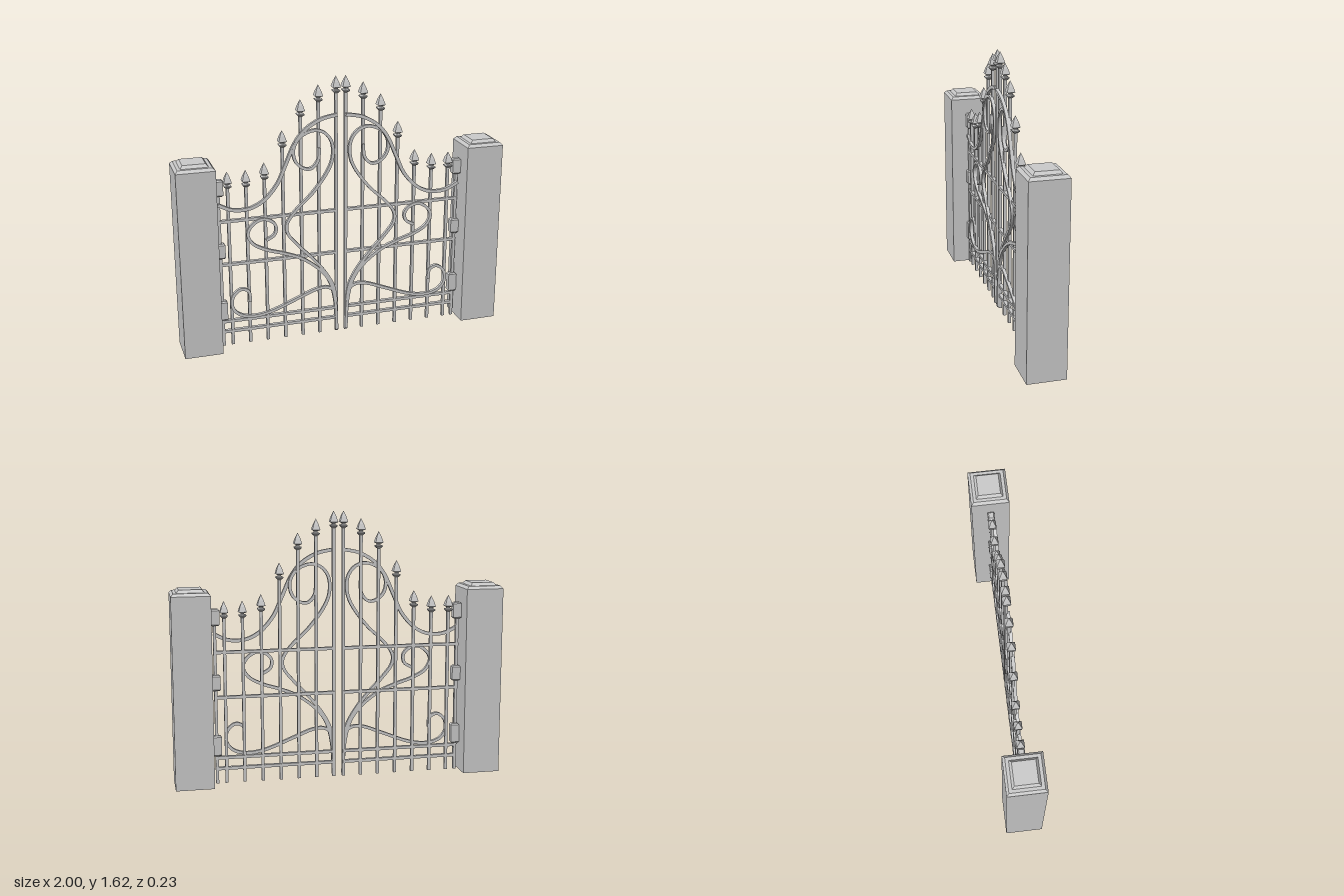
import * as THREE from 'three';

const material = new THREE.MeshStandardMaterial({ color: 0xcccccc, flatShading: true });

function addMesh(parent, name, geometry, x = 0, y = 0, z = 0) {
  const mesh = new THREE.Mesh(geometry, material);
  mesh.name = name;
  mesh.position.set(x, y, z);
  parent.add(mesh);
  return mesh;
}

// Square-section turned form: profile is [half width, height] from bottom to top.
function squareLathe(profile) {
  const points = profile.map(([r, y]) => new THREE.Vector2(r * Math.SQRT2, y));
  return new THREE.LatheGeometry(points, 4).rotateY(Math.PI / 4);
}

// Square iron bar bent along a smooth path in the xy plane.
function bentBar(path, side, width = 0.02, depth = 0.02) {
  const curve = new THREE.SplineCurve(path.map(([x, y]) => new THREE.Vector2(side * x, y)));
  const steps = path.length * 7;
  const outer = [], inner = [];
  for (let i = 0; i <= steps; i++) {
    const p = curve.getPointAt(i / steps);
    const t = curve.getTangentAt(i / steps);
    const n = new THREE.Vector2(-t.y, t.x).multiplyScalar(width / 2);
    outer.push(p.clone().add(n));
    inner.unshift(p.clone().sub(n));
  }
  const geometry = new THREE.ExtrudeGeometry(new THREE.Shape([...outer, ...inner]), { depth, bevelEnabled: false });
  return geometry.translate(0, 0, -depth / 2);
}

// Picket positions and the heights of their spear tips
const PICKETS = [
  [0.03, 1.625], [0.137, 1.58], [0.246, 1.5], [0.357, 1.325],
  [0.468, 1.14], [0.579, 1.105], [0.688, 1.105],
];
const RAILS = [0.09, 0.157, 0.527, 0.8];
const HINGES = [[0.17, 0.295], [0.57, 0.665], [0.96, 1.06]];

const ARCH = [
  [0.025, 1.395], [0.125, 1.375], [0.22, 1.32], [0.285, 1.24], [0.34, 1.12], [0.39, 1.01],
  [0.46, 0.925], [0.53, 0.88], [0.6, 0.865], [0.675, 0.873], [0.75, 0.91],
];
const SCROLLS = {
  upperScroll: [
    [0.137, 1.205], [0.143, 1.13], [0.185, 1.082], [0.24, 1.09], [0.285, 1.14], [0.291, 1.215],
    [0.25, 1.28], [0.17, 1.312], [0.1, 1.29], [0.057, 1.225], [0.056, 1.13], [0.095, 1.04],
    [0.18, 0.928], [0.275, 0.837], [0.336, 0.757], [0.334, 0.685], [0.275, 0.607],
    [0.18, 0.505], [0.105, 0.41], [0.052, 0.31], [0.034, 0.2],
  ],
  middleScroll: [
    [0.468, 0.66], [0.417, 0.69], [0.407, 0.742], [0.442, 0.782], [0.5, 0.793], [0.557, 0.757],
    [0.578, 0.703], [0.543, 0.64], [0.46, 0.595], [0.36, 0.562], [0.25, 0.515],
    [0.145, 0.435], [0.075, 0.34], [0.04, 0.2], [0.03, 0.01],
  ],
  lowerScroll: [
    [0.577, 0.275], [0.583, 0.34], [0.632, 0.36], [0.68, 0.318], [0.685, 0.25], [0.64, 0.195],
    [0.55, 0.175], [0.435, 0.195], [0.28, 0.255], [0.17, 0.298], [0.1, 0.307], [0.05, 0.285],
  ],
};

function buildLeaf(side) {
  const leaf = new THREE.Group();
  leaf.name = side > 0 ? 'leftGate' : 'rightGate';

  // Pickets with square spear heads and a collar beneath
  const spear = squareLathe([
    [0, -0.105], [0.012, -0.1], [0.021, -0.09], [0.021, -0.084], [0.01, -0.08],
    [0.01, -0.074], [0.024, -0.066], [0.015, -0.035], [0, 0],
  ]);
  for (const [x, tip] of PICKETS) {
    const height = tip - 0.08;
    addMesh(leaf, 'picket', new THREE.BoxGeometry(0.018, height, 0.018), side * x, height / 2);
    addMesh(leaf, 'spearHead', spear, side * x, tip);
  }

  // Horizontal rails
  for (const y of RAILS) {
    addMesh(leaf, 'rail', new THREE.BoxGeometry(0.73, 0.018, 0.022), side * 0.39, y);
  }

  // Hinge post and hinges
  addMesh(leaf, 'hingePost', new THREE.BoxGeometry(0.018, 1.04, 0.02), side * 0.745, 0.52);
  for (const [low, high] of HINGES) {
    const h = high - low, b = 0.008;
    const hinge = squareLathe([
      [0, 0], [0.018, 0], [0.026, b], [0.026, h - b], [0.018, h], [0, h],
    ]).scale(1, 1, 0.8);
    addMesh(leaf, 'hinge', hinge, side * 0.742, low);
  }

  // Arched top bar and scrollwork
  addMesh(leaf, 'archBar', bentBar(ARCH, side), 0, 0, side > 0 ? 0.02 : 0.009);
  for (const [name, path] of Object.entries(SCROLLS)) {
    addMesh(leaf, name, bentBar(path, side, 0.018), 0, 0, 0.01);
  }
  return leaf;
}

export function createModel() {
  const model = new THREE.Group();
  model.name = 'gate';

  // Pillars with chamfered top and raised cap
  const pillar = squareLathe([
    [0, 0], [0.115, 0], [0.115, 1.15], [0.1, 1.167], [0.081, 1.167], [0.067, 1.185], [0, 1.185],
  ]);
  for (const side of [-1, 1]) {
    addMesh(model, side > 0 ? 'leftPillar' : 'rightPillar', pillar, side * 0.885);
    model.add(buildLeaf(side));
  }
  return model;
}
